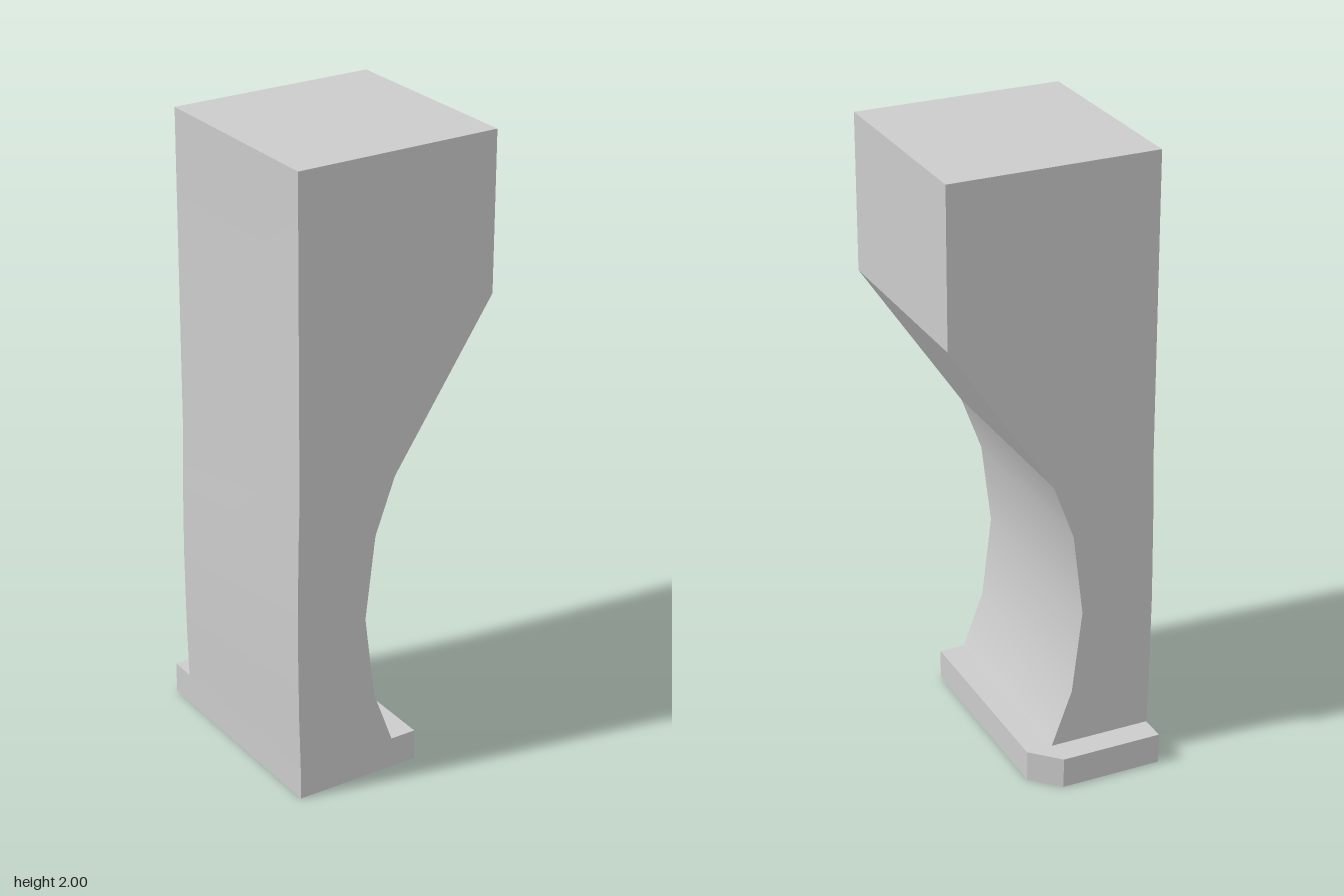
import * as THREE from 'three';
import { toCreasedNormals } from 'three/addons/utils/BufferGeometryUtils.js';

const material = new THREE.MeshStandardMaterial({ color: 0xcccccc });
const BACK = -0.29, FRONT = 0.375, BASE_TOP = 0.1, ARC_TOP = 1;

const extrude = (points, depth) => new THREE.ExtrudeGeometry(
  new THREE.Shape(points.map(([x, y]) => new THREE.Vector2(x, y))),
  { depth, bevelEnabled: false });

// Gives the hollow of the column smooth normals that point at the arc's centre
function smoothHollow(geometry, cx, cy) {
  const p = geometry.attributes.position, n = geometry.attributes.normal;
  for (let i = 0; i < p.count; i += 3) {
    const ids = [i, i + 1, i + 2];
    const onArc = ids.every(k => p.getY(k) > BASE_TOP - 0.001 && p.getY(k) < ARC_TOP + 0.001
      && p.getX(k) > -0.2) && Math.abs(n.getZ(i)) < 0.5 && n.getX(i) > 0.5;
    if (!onArc) continue;
    for (const k of ids) {
      const v = new THREE.Vector3(cx - p.getX(k), cy - p.getY(k), 0).normalize();
      n.setXYZ(k, v.x, v.y, v.z);
    }
  }
}

function addMesh(group, name, geometry) {
  const mesh = new THREE.Mesh(geometry, material);
  mesh.name = name;
  group.add(mesh);
}

export function createModel() {
  const group = new THREE.Group();
  group.name = 'bracketColumn';

  // Column: square head, sloped underside, hollow shaft, slightly bowed rear side
  const column = toCreasedNormals(extrude([
    [-0.33, BASE_TOP], [0, BASE_TOP],
    [-0.067, 0.28], [-0.1, 0.55], [-0.067, 0.82],
    [0, ARC_TOP], [0.335, 1.5], [0.335, 2], [-0.33, 2],
    [-0.33, 1], [-0.335, 0.82], [-0.338, 0.55], [-0.335, 0.28],
  ], FRONT - BACK).translate(0, 0, BACK), 0.1);
  smoothHollow(column, 0.9625, 0.55);
  addMesh(group, 'column', column);

  // Foot plate: drawn in plan as (x, -z), with one chamfered corner, then laid flat
  const foot = extrude([
    [-0.33, -FRONT], [0.085, -FRONT], [0.085, -BACK], [0, 0.375], [-0.33, 0.375],
  ], BASE_TOP).rotateX(-Math.PI / 2);
  addMesh(group, 'footPlate', foot);

  return group;
}
